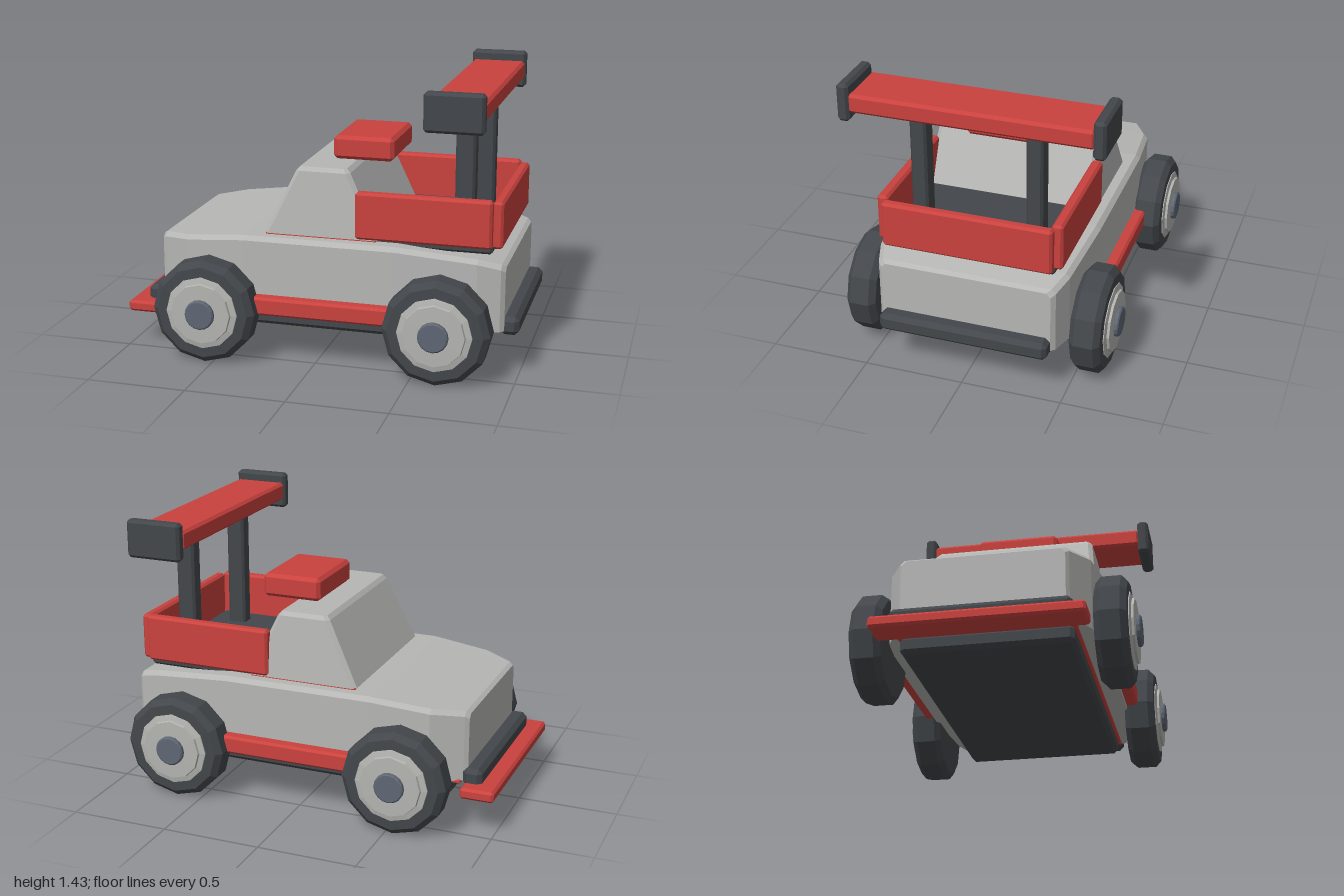
import * as THREE from 'three';
import { ConvexGeometry } from 'three/addons/geometries/ConvexGeometry.js';

const material = (name, color) => {
  const m = new THREE.MeshStandardMaterial({ color });
  m.name = name;
  return m;
};

export function createModel() {
  const grey = material('body grey', 0xb6b7b5);
  const red = material('trim red', 0xca423e);
  const dark = material('rubber black', 0x43474b);
  const rimGrey = material('rim grey', 0xb4b4b1);
  const hubBlue = material('hub slate', 0x5f6774);

  const car = new THREE.Group();
  car.name = 'raceTruck';

  const add = (name, geometry, mat, parent = car) => {
    const mesh = new THREE.Mesh(geometry, mat);
    mesh.name = name;
    parent.add(mesh);
    return mesh;
  };

  // Box with chamfered edges, given by its limits on each axis
  const block = (name, mat, [x0, x1], [y0, y1], [z0, z1], c = 0.012) => {
    const points = [];
    for (const [x, sx] of [[x0, 1], [x1, -1]])
      for (const [y, sy] of [[y0, 1], [y1, -1]])
        for (const [z, sz] of [[z0, 1], [z1, -1]])
          points.push(
            new THREE.Vector3(x, y + sy * c, z + sz * c),
            new THREE.Vector3(x + sx * c, y, z + sz * c),
            new THREE.Vector3(x + sx * c, y + sy * c, z));
    return add(name, new ConvexGeometry(points), mat);
  };

  // Body hull: sections along the length as [x, half width, top height]
  const hull = [];
  for (const [x, w, top] of [
    [-0.84, 0.385, 0.575], [-0.82, 0.4, 0.588], [-0.67, 0.48, 0.606], [-0.37, 0.512, 0.636],
    [0.4, 0.512, 0.636], [0.8, 0.48, 0.598], [0.91, 0.445, 0.57], [0.93, 0.425, 0.555],
  ]) {
    for (const s of [-1, 1]) {
      hull.push(
        new THREE.Vector3(x, 0.235, s * w),
        new THREE.Vector3(x, top - 0.022, s * w),
        new THREE.Vector3(x, top, s * (w - 0.022)));
    }
  }
  add('body', new ConvexGeometry(hull), grey);

  // Cabin: levels as [y, front x, rear x, half width], corners cut by a chamfer
  const cabin = [];
  for (const [y, x0, x1, w, c] of [
    [0.643, -0.277, 0.305, 0.447, 0.02],
    [0.962, -0.122, 0.152, 0.414, 0.02],
    [0.982, -0.103, 0.132, 0.398, 0.014],
  ]) {
    for (const s of [-1, 1]) {
      for (const [x, dx] of [[x0, c], [x1, -c]]) {
        cabin.push(new THREE.Vector3(x, y, s * (w - c)), new THREE.Vector3(x + dx, y, s * w));
      }
    }
  }
  add('cabin', new ConvexGeometry(cabin), grey);
  block('cabinTrim', red, [-0.27, 0.29], [0.625, 0.646], [-0.44, 0.44], 0.003);
  block('roofScoop', red, [0.012, 0.322], [0.983, 1.102], [-0.212, 0.212], 0.018);

  // Cargo bed
  block('bedFloor', dark, [0.15, 0.862], [0.613, 0.66], [-0.422, 0.422]);
  block('tailgate', red, [0.858, 0.91], [0.643, 0.875], [-0.422, 0.422]);

  // Floor, bumpers and splitter
  block('floorPlate', red, [-0.81, 0.905], [0.222, 0.24], [-0.42, 0.42], 0.004);
  block('underbody', dark, [-0.76, 0.84], [0.145, 0.232], [-0.408, 0.408], 0.02);
  block('frontBumper', dark, [-0.917, -0.82], [0.213, 0.306], [-0.424, 0.424], 0.022);
  block('rearBumper', dark, [0.905, 1], [0.213, 0.306], [-0.424, 0.424], 0.022);
  block('frontSplitter', red, [-1, -0.83], [0.18, 0.236], [-0.495, 0.495]);

  // Rear wing
  block('wingBlade', red, [0.565, 0.842], [1.287, 1.382], [-0.592, 0.592], 0.014);

  // Parts repeated on both sides
  for (const s of [-1, 1]) {
    const side = s > 0 ? 'Left' : 'Right';
    const span = (a, b) => (s > 0 ? [a, b] : [-b, -a]);
    block('sideSkirt' + side, red, [-0.42, 0.52], [0.25, 0.342], span(0.44, 0.57));
    block('bedSide' + side, red, [0.19, 0.862], [0.648, 0.884], span(0.405, 0.46));
    block('wingPost' + side, dark, [0.655, 0.752], [0.64, 1.3], span(0.245, 0.327));
    block('wingEndPlate' + side, dark, [0.56, 0.847], [1.24, 1.43], span(0.585, 0.645), 0.014);
  }

  // Wheels: flat-faced lathes with the axle along z
  const turned = (profile, sides) => {
    const g = new THREE.LatheGeometry(profile.map(([r, z]) => new THREE.Vector2(r, z)), sides)
      .rotateX(Math.PI / 2).toNonIndexed();
    g.computeVertexNormals();
    return g;
  };
  const tyre = turned([[0, 0.495], [0.2, 0.495], [0.235, 0.497], [0.265, 0.525],
    [0.265, 0.62], [0.235, 0.648], [0.18, 0.65], [0, 0.65]], 12);
  const rim = turned([[0.186, 0.645], [0.184, 0.654], [0.155, 0.66], [0.152, 0.672], [0, 0.674]], 12);
  const hub = turned([[0.075, 0.66], [0.075, 0.688], [0.068, 0.694], [0, 0.694]], 16);
  for (const [place, x] of [['front', -0.54], ['rear', 0.632]]) {
    for (const s of [-1, 1]) {
      const wheel = new THREE.Group();
      wheel.name = place + 'Wheel' + (s > 0 ? 'Left' : 'Right');
      add('tyre', tyre, dark, wheel);
      add('rim', rim, rimGrey, wheel);
      add('hub', hub, hubBlue, wheel);
      wheel.position.set(x, 0.265, 0);
      if (s < 0) wheel.rotation.y = Math.PI;
      car.add(wheel);
    }
  }
  return car;
}
